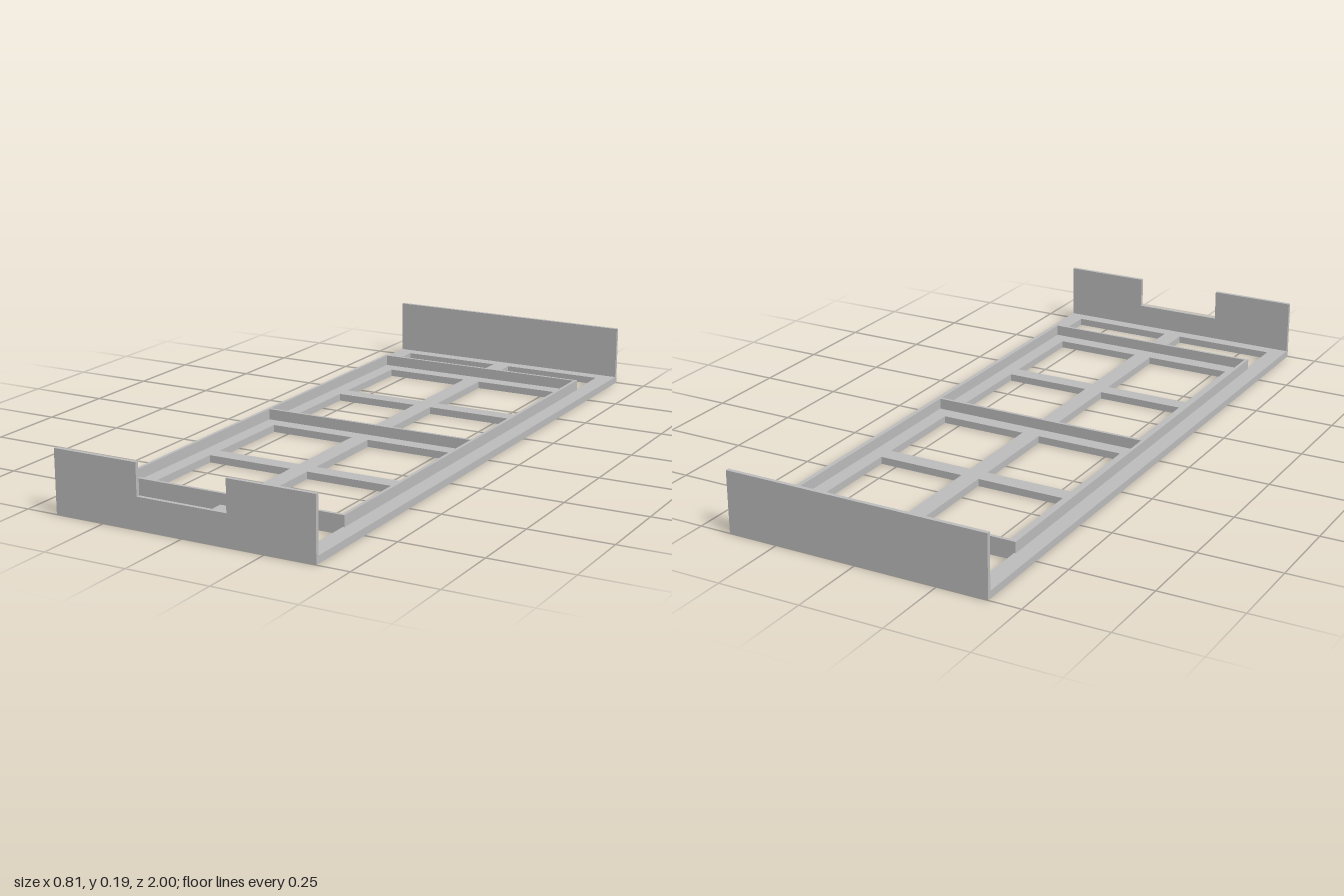
import * as THREE from 'three';

const W = 0.403, L = 1, BASE = 0.022, RIM = 0.055, HEIGHT = 0.187;

// Adds a rectangle to a shape or path
function rect(path, x0, y0, x1, y1) {
  path.moveTo(x0, y0);
  path.lineTo(x1, y0);
  path.lineTo(x1, y1);
  path.lineTo(x0, y1);
  path.closePath();
  return path;
}

function extrude(shape, depth) {
  return new THREE.ExtrudeGeometry(shape, { depth, bevelEnabled: false });
}

export function createModel() {
  const group = new THREE.Group();
  const grey = new THREE.MeshStandardMaterial({ color: 0xbebebe });
  grey.name = 'light grey';
  const add = (name, geometry) => {
    const mesh = new THREE.Mesh(geometry, grey);
    mesh.name = name;
    group.add(mesh);
  };

  // Flat lattice base: windows mirrored across both axes
  const base = rect(new THREE.Shape(), -W, -L, W, L);
  const windows = [[0.3, 0.052, 0.358], [0.3, 0.409, 0.714], [0.35, 0.772, 0.947]];
  for (const [outer, z0, z1] of windows)
    for (const sx of [-1, 1])
      for (const sz of [-1, 1])
        base.holes.push(rect(new THREE.Path(), sx * 0.028, sz * z0, sx * outer, sz * z1));
  add('latticeBase', extrude(base, BASE).rotateX(-Math.PI / 2));

  // Raised rim with a divider, leaving two trays
  const rim = rect(new THREE.Shape(), -0.355, -0.773, 0.355, 0.773);
  for (const s of [-1, 1])
    rim.holes.push(rect(new THREE.Path(), -0.345, s * 0.005, 0.345, s * 0.763));
  add('trayRim', extrude(rim, RIM - BASE).rotateX(-Math.PI / 2).translate(0, BASE, 0));

  // Plain back plate
  const back = rect(new THREE.Shape(), -W, BASE, W, HEIGHT);
  add('backPlate', extrude(back, 0.012).translate(0, 0, -L));

  // Front plate with a notch in its top edge
  const front = new THREE.Shape([
    [-W, BASE], [W, BASE], [W, HEIGHT], [0.139, HEIGHT],
    [0.139, 0.093], [-0.139, 0.093], [-0.139, HEIGHT], [-W, HEIGHT],
  ].map(([x, y]) => new THREE.Vector2(x, y)));
  add('frontPlate', extrude(front, 0.012).translate(0, 0, L - 0.012));

  return group;
}
